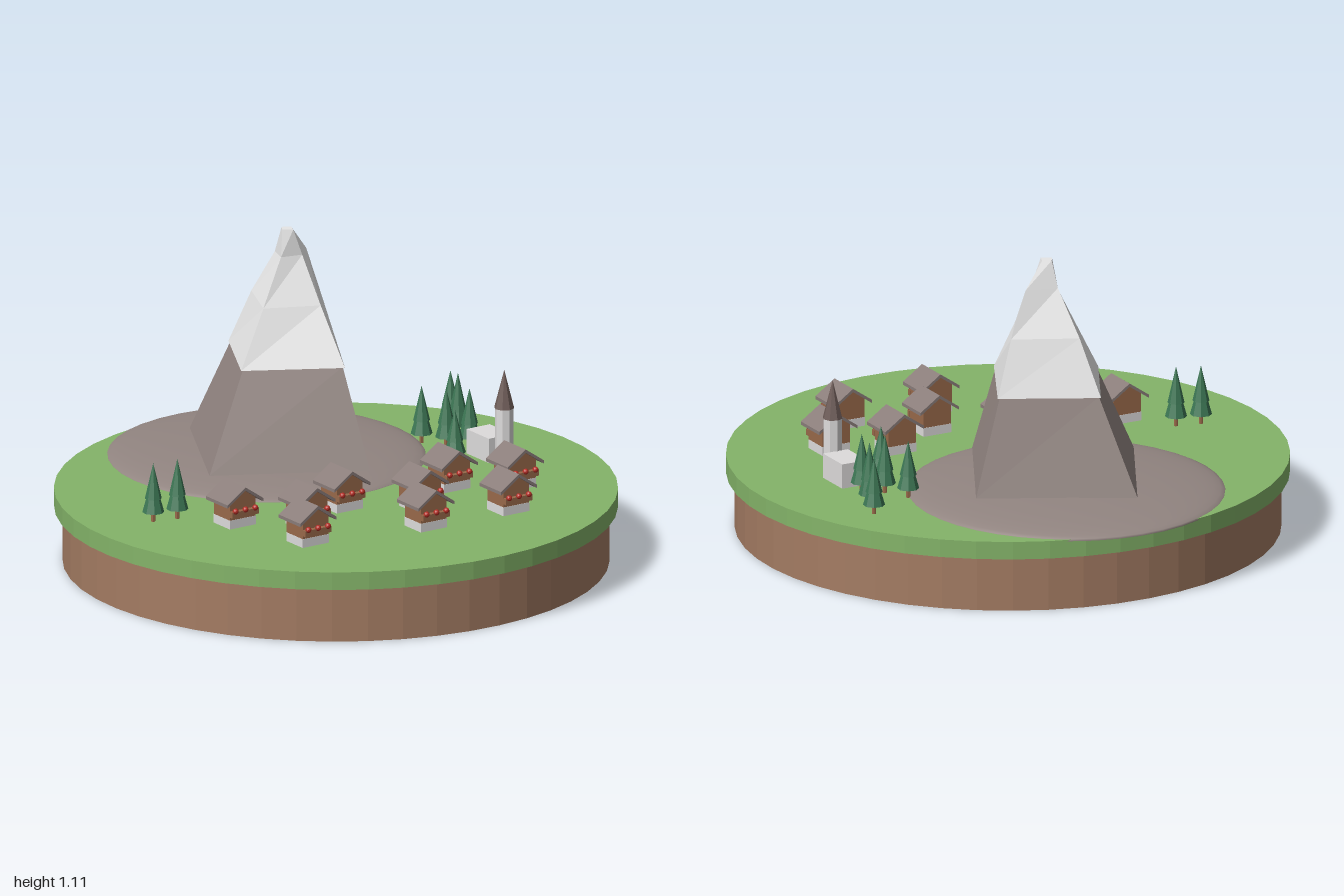
import * as THREE from 'three';

const mat = (name, color, extra = {}) => {
  const m = new THREE.MeshStandardMaterial({ color, flatShading: true, ...extra });
  m.name = name;
  return m;
};

export function createModel() {
  const soil = mat('soil', 0xa47c63);
  const grass = mat('grass', 0x84b469);
  const rock = mat('rock', 0x928581);
  const scree = rock.clone();
  scree.flatShading = false;
  const snow = mat('snow', 0xeeeeee);
  const wood = mat('wood', 0x99694a);
  const plaster = mat('plaster', 0xdedcdc);
  const roofing = mat('roofing', 0x8a7d7a);
  const needles = mat('needles', 0x3d7755);
  const flowers = mat('flowers', 0xb52d25);
  const spireTile = mat('spireTile', 0x6e5c58);

  const model = new THREE.Group();
  model.name = 'mountainVillage';
  const GROUND = 0.265;

  const add = (parent, name, geo, material, x = 0, y = 0, z = 0) => {
    const mesh = new THREE.Mesh(geo, material);
    mesh.name = name;
    mesh.position.set(x, y, z);
    parent.add(mesh);
    return mesh;
  };

  // Round island
  add(model, 'soilBase', new THREE.CylinderGeometry(0.965, 0.965, 0.2, 48), soil, 0, 0.1, 0);
  add(model, 'grassTop', new THREE.CylinderGeometry(0.995, 0.995, 0.065, 48), grass, 0, 0.2325, 0);

  // Flat scree mound under the mountain
  const mound = new THREE.SphereGeometry(1, 40, 12, 0, Math.PI * 2, 0, Math.PI / 2);
  mound.scale(0.56, 0.05, 0.57);
  add(model, 'screeMound', mound, scree, 0.15, 0.26, -0.43);

  // Four-sided loft; a section is [y, left x, right x, back z, front z, back x, front x, side z]
  const loft = (sections) => {
    const rings = sections.map(([y, l, r, b, f, bx, fx, sz]) =>
      [[fx, y, f], [r, y, sz], [bx, y, b], [l, y, sz]]);
    const pos = [];
    const quad = (a, b, c, d) => pos.push(...a, ...b, ...c, ...a, ...c, ...d);
    for (let i = 0; i < rings.length - 1; i++) {
      for (let k = 0; k < 4; k++) {
        const n = (k + 1) % 4;
        quad(rings[i][k], rings[i][n], rings[i + 1][n], rings[i + 1][k]);
      }
    }
    quad(...rings[rings.length - 1]);
    quad(...[...rings[0]].reverse());
    const geo = new THREE.BufferGeometry();
    geo.setAttribute('position', new THREE.Float32BufferAttribute(pos, 3));
    geo.computeVertexNormals();
    return geo;
  };
  add(model, 'mountainRock', loft([
    [0.305, -0.27, 0.53, -0.76, 0.05, 0.13, 0.13, -0.355],
    [0.65, -0.08, 0.41, -0.6, -0.1, 0.16, 0.165, -0.355],
  ]), rock);
  add(model, 'snowCap', loft([
    [0.648, -0.09, 0.42, -0.61, -0.09, 0.16, 0.165, -0.355],
    [0.85, 0.03, 0.347, -0.515, -0.215, 0.17, 0.185, -0.35],
    [1.015, 0.13, 0.273, -0.413, -0.31, 0.175, 0.2, -0.35],
    [1.11, 0.15, 0.2, -0.383, -0.33, 0.175, 0.175, -0.36],
  ]), snow);

  // Chalets: plaster foot, timber gable body, two roof slabs, balcony with flowers
  const gable = new THREE.Shape();
  [[-0.055, 0.03], [0.055, 0.03], [0.055, 0.1], [0, 0.14], [-0.055, 0.1]]
    .forEach(([x, y], i) => (i ? gable.lineTo(x, y) : gable.moveTo(x, y)));
  const bodyGeo = new THREE.ExtrudeGeometry(gable, { depth: 0.1, bevelEnabled: false });
  const footGeo = new THREE.BoxGeometry(0.112, 0.032, 0.102);
  const roofShape = new THREE.Shape();
  [[0, 0.15], [-0.077, 0.097], [-0.077, 0.085], [0, 0.138], [0.077, 0.085], [0.077, 0.097]]
    .forEach(([x, y], i) => (i ? roofShape.lineTo(x, y) : roofShape.moveTo(x, y)));
  const roofGeo = new THREE.ExtrudeGeometry(roofShape, { depth: 0.135, bevelEnabled: false });
  const balconyGeo = new THREE.BoxGeometry(0.112, 0.022, 0.018);
  const flowerGeo = new THREE.IcosahedronGeometry(0.011, 1);
  const houses = [[-0.55, -0.02], [-0.4, 0.185], [-0.56, 0.315], [-0.17, 0.16], [0.01, 0.37],
    [0.25, 0.31], [0.41, 0.48], [-0.16, 0.53], [0.17, 0.64]];
  for (const [x, z] of houses) {
    const house = new THREE.Group();
    house.name = 'chalet';
    house.position.set(x, GROUND, z);
    house.rotation.y = -0.3;
    add(house, 'foot', footGeo, plaster, 0, 0.016, 0);
    add(house, 'timberBody', bodyGeo, wood, 0, 0, -0.05);
    add(house, 'roof', roofGeo, roofing, 0, 0, -0.0675);
    add(house, 'balcony', balconyGeo, wood, 0, 0.055, 0.059);
    for (const fx of [-0.042, 0, 0.042]) add(house, 'flowerBox', flowerGeo, flowers, fx, 0.068, 0.066);
    model.add(house);
  }

  // Church: plain nave, eight-sided tower and spire
  const church = new THREE.Group();
  church.name = 'church';
  church.position.set(0.625, GROUND, 0.195);
  church.rotation.y = -0.3;
  add(church, 'nave', new THREE.BoxGeometry(0.1, 0.09, 0.14), plaster, 0, 0.045, 0);
  add(church, 'tower', new THREE.CylinderGeometry(0.034, 0.034, 0.21, 8), plaster, -0.005, 0.105, 0.1);
  add(church, 'spire', new THREE.ConeGeometry(0.036, 0.14, 8), spireTile, -0.005, 0.275, 0.1);
  model.add(church);

  // Fir trees: [x, z, top y]
  const trunkGeo = new THREE.CylinderGeometry(0.008, 0.008, 0.05, 6);
  const lowerGeo = new THREE.ConeGeometry(0.039, 0.14, 8);
  const upperGeo = new THREE.ConeGeometry(0.03, 0.13, 8);
  const trees = [[-0.71, -0.26, 0.48], [-0.63, -0.215, 0.485], [0.6, -0.09, 0.475], [0.505, 0.135, 0.455],
    [0.62, 0.005, 0.48], [0.67, 0.07, 0.48], [0.75, -0.045, 0.495], [0.815, -0.13, 0.47]];
  for (const [x, z, top] of trees) {
    const tree = new THREE.Group();
    tree.name = 'firTree';
    tree.position.set(x, GROUND, z);
    tree.scale.y = (top - GROUND) / 0.215;
    add(tree, 'trunk', trunkGeo, wood, 0, 0.02, 0);
    add(tree, 'lowerBranches', lowerGeo, needles, 0, 0.105, 0);
    add(tree, 'upperBranches', upperGeo, needles, 0, 0.15, 0);
    model.add(tree);
  }
  return model;
}
